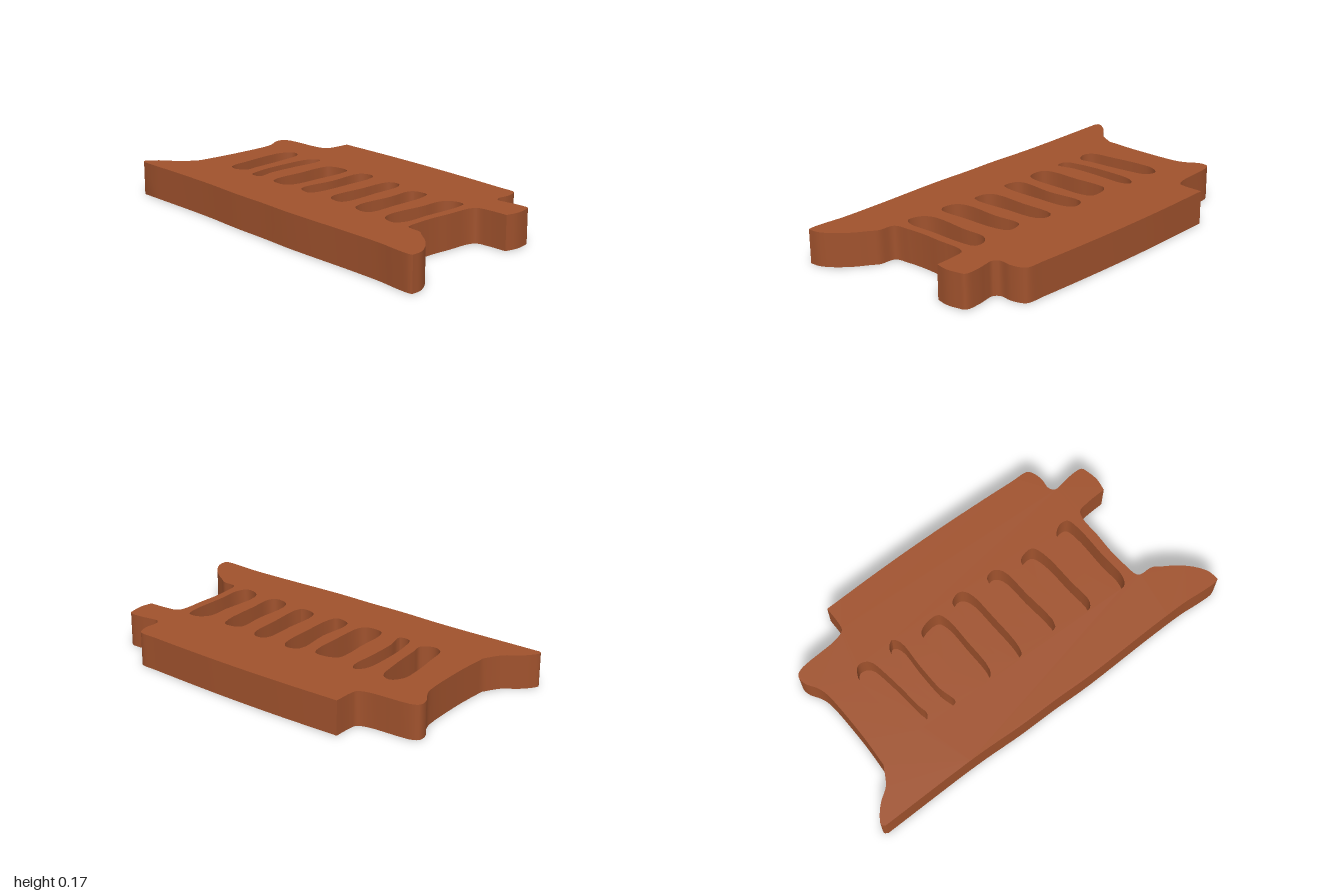
import * as THREE from 'three';
import { toCreasedNormals } from 'three/addons/utils/BufferGeometryUtils.js';

const HEIGHT = 0.17;
const FLOOR = 0.04; // solid thickness left under each slot

// Smooth run through plan points given as [x, z]
function run(points, closed = false) {
  const curve = new THREE.CatmullRomCurve3(points.map(([x, z]) => new THREE.Vector3(x, -z, 0)), closed);
  return curve.getPoints(points.length * 4).map((p) => new THREE.Vector2(p.x, p.y));
}

// Raise a plan shape upward from y = 0
function raise(shape, height) {
  const g = new THREE.ExtrudeGeometry(shape, { depth: height, bevelEnabled: false });
  g.rotateX(-Math.PI / 2);
  return toCreasedNormals(g, 0.6);
}

// Outline edges, clockwise in plan; each run ends at a sharp corner
const edges = [
  // back edge, right notch and tab
  [[-0.535, -0.555], [-0.2, -0.547], [0.1, -0.532], [0.4, -0.509], [0.58, -0.492], [0.675, -0.482], [0.693, -0.457], [0.703, -0.405],
    [0.698, -0.345], [0.72, -0.319], [0.76, -0.32], [0.82, -0.327], [0.893, -0.32], [0.905, -0.285], [0.912, -0.225], [0.9, -0.162]],
  // right waist and flared foot
  [[0.9, -0.162], [0.8, -0.162], [0.735, -0.152], [0.717, -0.115], [0.712, 0.005], [0.705, 0.105], [0.708, 0.205], [0.722, 0.284],
    [0.8, 0.298], [0.84, 0.327], [0.9, 0.371], [0.96, 0.434], [0.995, 0.495], [1, 0.55]],
  // front edge
  [[1, 0.55], [0.98, 0.555], [0.9, 0.549], [0.8, 0.536], [0.6, 0.526], [0.2, 0.515], [0, 0.5], [-0.2, 0.49], [-0.45, 0.468], [-0.985, 0.447]],
  // left foot
  [[-0.985, 0.447], [-1, 0.432], [-0.97, 0.384], [-0.93, 0.346], [-0.87, 0.305], [-0.815, 0.22]],
  // left waist, shoulder and step
  [[-0.815, 0.22], [-0.805, 0.105], [-0.8, 0.005], [-0.802, -0.215],
    [-0.815, -0.265], [-0.85, -0.33], [-0.85, -0.375], [-0.82, -0.395], [-0.6, -0.405], [-0.55, -0.423], [-0.54, -0.455], [-0.535, -0.555]],
];

// Rounded slots, left to right
const slots = [
  [[-0.64, -0.185], [-0.6, -0.235], [-0.55, -0.215], [-0.525, -0.095], [-0.51, 0.105], [-0.505, 0.165], [-0.56, 0.198], [-0.61, 0.175], [-0.63, 0.055], [-0.645, -0.095]],
  [[-0.44, -0.195], [-0.4, -0.23], [-0.375, -0.195], [-0.38, -0.045], [-0.38, 0.105], [-0.365, 0.203], [-0.42, 0.203], [-0.445, 0.125], [-0.455, -0.045]],
  [[-0.27, -0.165], [-0.22, -0.19], [-0.15, -0.185], [-0.13, -0.135], [-0.13, 0.005], [-0.14, 0.185], [-0.17, 0.218], [-0.25, 0.213], [-0.275, 0.165], [-0.275, 0.005], [-0.28, -0.095]],
  [[-0.06, -0.185], [0, -0.21], [0.035, -0.175], [0.045, 0.005], [0.04, 0.185], [0.02, 0.228], [-0.05, 0.213], [-0.07, 0.175], [-0.055, 0.005]],
  [[0.15, -0.175], [0.2, -0.19], [0.235, -0.155], [0.245, 0.005], [0.24, 0.225], [0.16, 0.218], [0.135, 0.175], [0.14, 0.005]],
  [[0.33, -0.125], [0.35, -0.15], [0.42, -0.155], [0.445, -0.095], [0.45, 0.105], [0.45, 0.235], [0.42, 0.263], [0.35, 0.245], [0.325, 0.185], [0.335, 0.005]],
  [[0.55, -0.115], [0.6, -0.16], [0.65, -0.155], [0.665, -0.095], [0.66, 0.105], [0.66, 0.235], [0.63, 0.283], [0.56, 0.265], [0.53, 0.205], [0.545, 0.005]],
];

export function createModel() {
  const group = new THREE.Group();
  group.name = 'slottedPlate';
  const brown = new THREE.MeshStandardMaterial({ color: 0xa0522d });
  brown.name = 'sienna brown';

  const add = (name, geometry) => {
    const mesh = new THREE.Mesh(geometry, brown);
    mesh.name = name;
    group.add(mesh);
  };

  // Plate body pierced by the slots, which wind opposite to the outline
  const body = new THREE.Shape(edges.flatMap((e) => run(e).slice(0, -1)));
  const slotOutlines = slots.map((s) => run(s, true).slice(0, -1).reverse());
  body.holes = slotOutlines.map((pts) => new THREE.Path(pts));
  add('plateBody', raise(body, HEIGHT));

  // Floors closing the slots below
  slotOutlines.forEach((pts, i) => add(`slotFloor${i + 1}`, raise(new THREE.Shape(pts), FLOOR)));
  return group;
}
